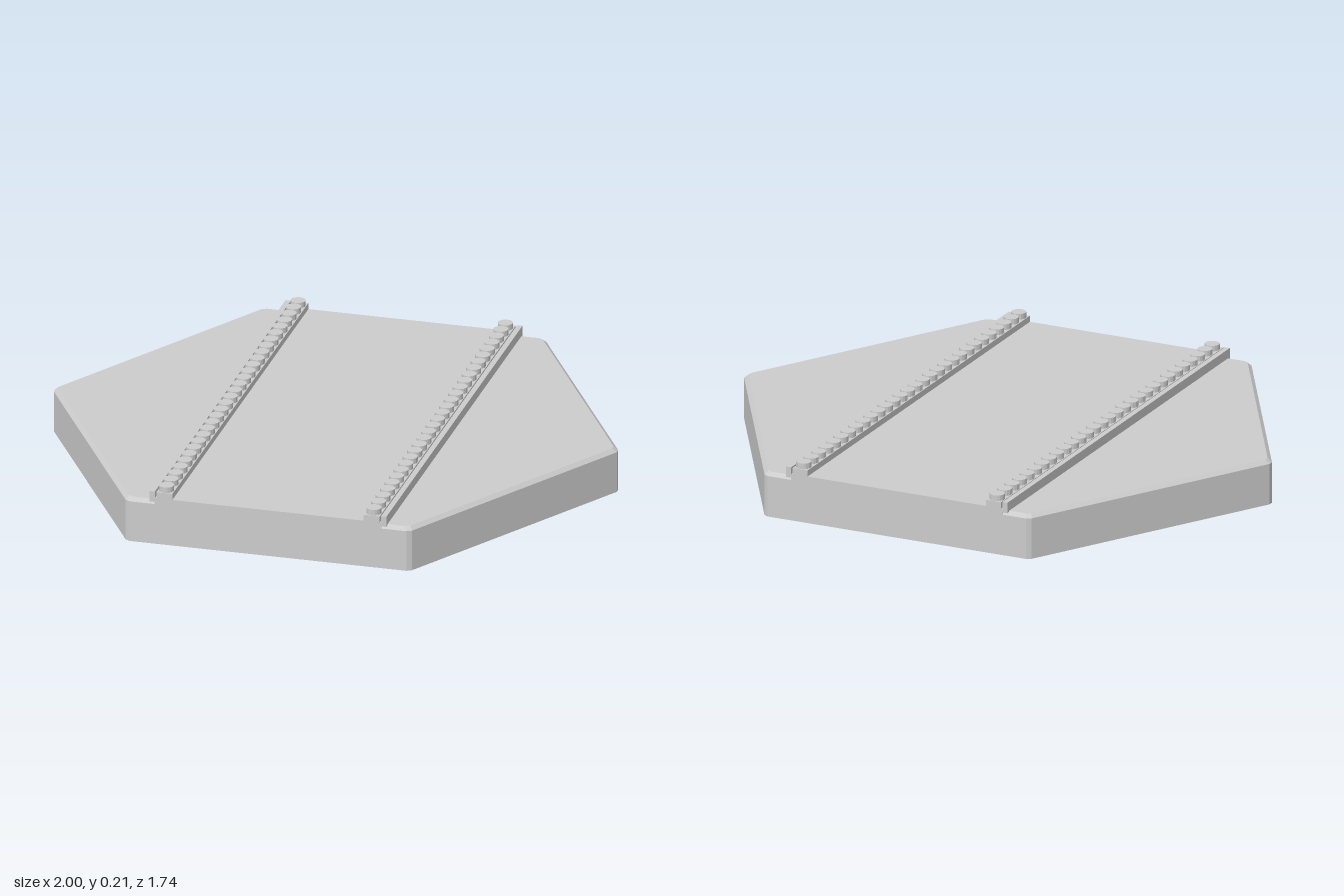
import * as THREE from 'three';

const APOTHEM = 0.87, WALL_TOP = 0.147, DECK = 0.16, SLAB_TOP = 0.169;
const material = new THREE.MeshStandardMaterial({ color: 0xcccccc, flatShading: true, side: THREE.DoubleSide });

function addMesh(parent, name, geometry, x = 0, y = 0, z = 0) {
  const mesh = new THREE.Mesh(geometry, material);
  mesh.name = name;
  mesh.position.set(x, y, z);
  parent.add(mesh);
  return mesh;
}

// Hexagon outline with slightly cut corners
function hexRing(apothem, y, cut = 0.011) {
  const points = [];
  const halfSide = apothem / Math.sqrt(3) - cut;
  for (let i = 0; i < 6; i++) {
    const a = Math.PI / 6 + i * Math.PI / 3;
    for (const s of [-halfSide, halfSide]) {
      points.push(new THREE.Vector3(
        Math.cos(a) * apothem - Math.sin(a) * s, y,
        Math.sin(a) * apothem + Math.cos(a) * s));
    }
  }
  return points;
}

// Open-bottomed shell: wall, bevel and flat deck
function shellGeometry() {
  const rings = [hexRing(APOTHEM, 0), hexRing(APOTHEM, WALL_TOP), hexRing(APOTHEM - 0.014, DECK)];
  const centre = new THREE.Vector3(0, DECK, 0);
  const corners = [];
  for (let i = 0; i < 12; i++) {
    const j = (i + 1) % 12;
    for (let r = 0; r < 2; r++) {
      const [a, b, c, d] = [rings[r][i], rings[r][j], rings[r + 1][j], rings[r + 1][i]];
      corners.push(a, c, b, a, d, c);
    }
    corners.push(rings[2][i], centre, rings[2][j]);
  }
  const geometry = new THREE.BufferGeometry().setFromPoints(corners);
  geometry.computeVertexNormals();
  return geometry;
}

// Raised centre strip, its ends filling the bevel flush with the wall
function slabGeometry(width) {
  const inner = APOTHEM - 0.014;
  const profile = new THREE.Shape([
    [-APOTHEM, WALL_TOP], [-inner, DECK + 0.001], [inner, DECK + 0.001],
    [APOTHEM, WALL_TOP], [APOTHEM, SLAB_TOP], [-APOTHEM, SLAB_TOP],
  ].map(([z, y]) => new THREE.Vector2(z, y)));
  return new THREE.ExtrudeGeometry(profile, { depth: width, bevelEnabled: false })
    .translate(0, 0, -width / 2).rotateY(Math.PI / 2);
}

// One edge of the strip: thin lip and a row of round studs on a bar
function createRail(side) {
  const rail = new THREE.Group();
  rail.name = side > 0 ? 'leftRail' : 'rightRail';
  const length = APOTHEM * 2, count = 30, pitch = length / count;
  const barHeight = 0.022, studHeight = 0.02, rowX = side * 0.368;
  addMesh(rail, 'lip', new THREE.BoxGeometry(0.019, 0.038, length), side * 0.411, 0.174, 0);
  addMesh(rail, 'studBar', new THREE.BoxGeometry(0.057, barHeight, length), rowX, SLAB_TOP + barHeight / 2, 0);
  const studGeometry = new THREE.CylinderGeometry(0.026, 0.026, studHeight, 16);
  for (let i = 0; i < count; i++) {
    addMesh(rail, 'stud', studGeometry, rowX, SLAB_TOP + barHeight + studHeight / 2, (i + 0.5) * pitch - APOTHEM);
  }
  return rail;
}

export function createModel() {
  const model = new THREE.Group();
  model.name = 'hexRoadTile';
  addMesh(model, 'hexShell', shellGeometry());
  addMesh(model, 'centreStrip', slabGeometry(0.804));
  for (const side of [-1, 1]) model.add(createRail(side));
  return model;
}
